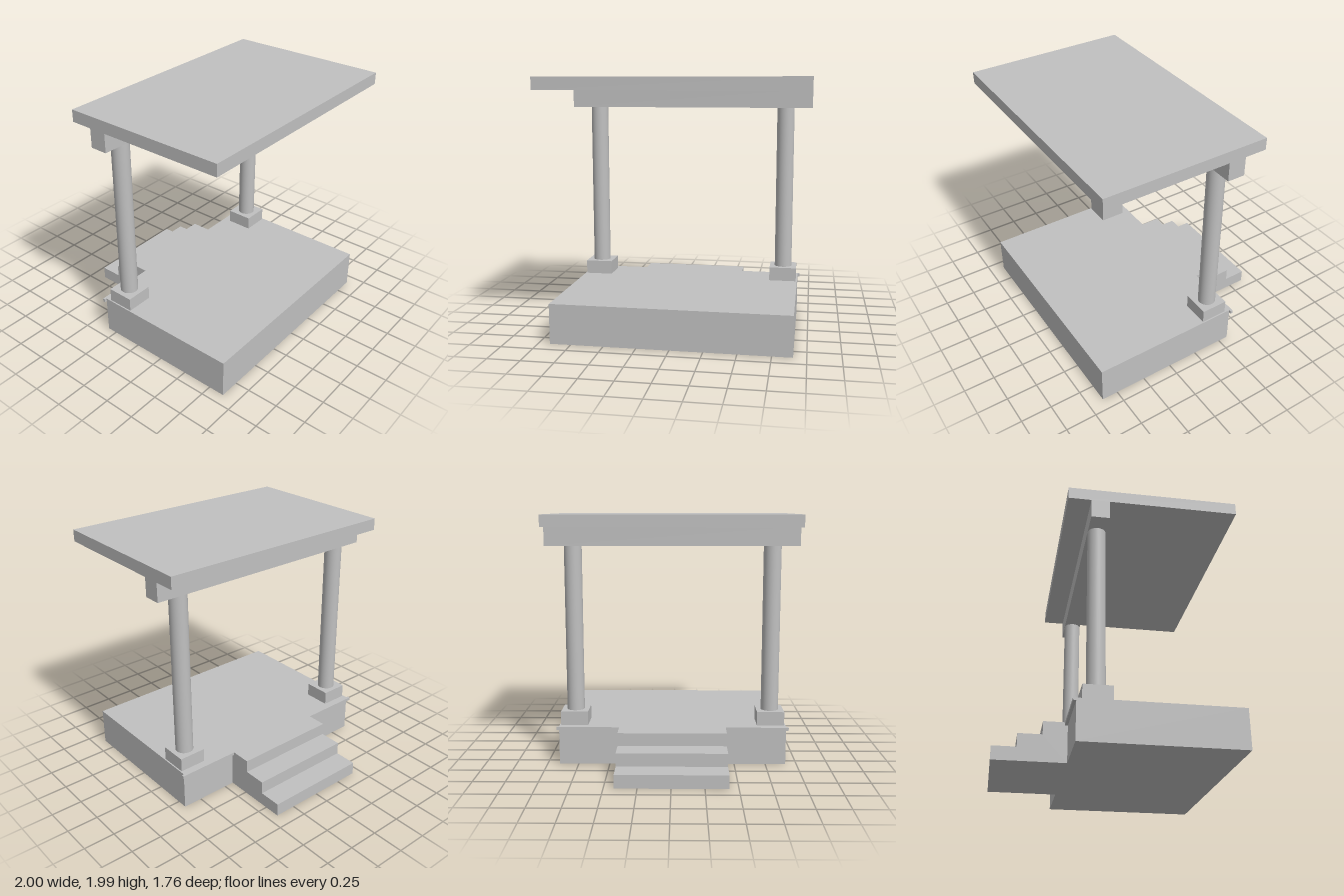
import * as THREE from 'three';

export function createModel() {
  const root = new THREE.Group();
  root.name = 'porch';
  const concrete = new THREE.MeshStandardMaterial({ color: 0xc0c0c0 });
  concrete.name = 'light grey';
  const offsetX = -0.004; // supports sit slightly off the roof centre

  const add = (name, geometry, x = 0, y = 0, z = 0) => {
    const mesh = new THREE.Mesh(geometry, concrete);
    mesh.name = name;
    mesh.position.set(x, y, z);
    root.add(mesh);
    return mesh;
  };
  // Box given by its extents along each axis
  const box = (name, x0, x1, y0, y1, z0, z1) =>
    add(name, new THREE.BoxGeometry(x1 - x0, y1 - y0, z1 - z0),
      (x0 + x1) / 2, (y0 + y1) / 2, (z0 + z1) / 2);

  // Roof slab and its supporting beam
  box('roofSlab', -1, 1, 1.89, 1.985, -0.427, 0.88);
  box('roofBeam', -1, 1, 1.74, 1.89, -0.252, -0.112);

  // Deck and steps share one block: side profile (z, y) for the stairs
  box('deck', -0.907 + offsetX, 0.907 + offsetX, 0, 0.31, -0.333, 0.88);
  const stepWidth = 0.85;
  const profile = new THREE.Shape([
    [0.333, 0], [0.88, 0], [0.88, 0.105], [0.697, 0.105],
    [0.697, 0.208], [0.515, 0.208], [0.515, 0.31], [0.333, 0.31],
  ].map(([d, y]) => new THREE.Vector2(d, y)));
  const stairs = new THREE.ExtrudeGeometry(profile, { depth: stepWidth, bevelEnabled: false });
  stairs.rotateY(Math.PI / 2); // profile now runs towards -z
  add('steps', stairs, -stepWidth / 2 + offsetX);

  for (const side of [-1, 1]) {
    const label = side > 0 ? 'left' : 'right';
    const x = side * 0.787 + offsetX;
    // Column on a square plinth
    box(label + 'Plinth', x - 0.109, x + 0.109, 0.31, 0.42, -0.291, -0.073);
    add(label + 'Column', new THREE.CylinderGeometry(0.07, 0.07, 1.32, 40), x, 1.08, -0.182);
    // Thin lip along the rear deck edge, beside the steps
    add(label + 'DeckLip', new THREE.BoxGeometry(0.5, 0.025, 0.022),
      side * 0.675 + offsetX, 0.2975, -0.344);
  }
  return root;
}
